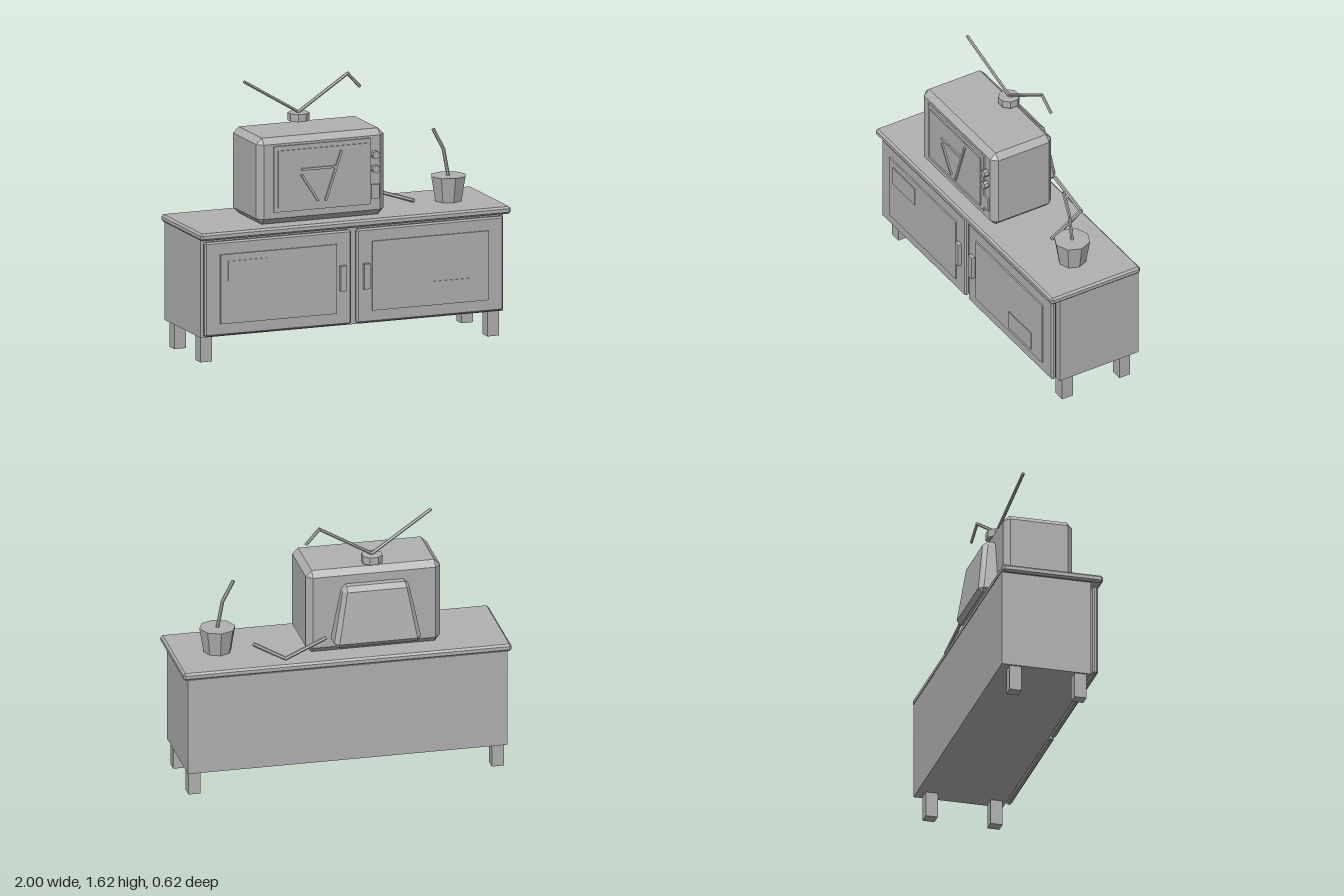
import * as THREE from 'three';
import { ConvexGeometry } from 'three/addons/geometries/ConvexGeometry.js';

const grey = new THREE.MeshStandardMaterial({ color: 0xb0b0b0, flatShading: true });
grey.name = 'plain grey';

function add(parent, name, geometry, x = 0, y = 0, z = 0) {
  const mesh = new THREE.Mesh(geometry, grey);
  mesh.name = name;
  mesh.position.set(x, y, z);
  parent.add(mesh);
  return mesh;
}

// Box given by its extents on each axis
function box(parent, name, [x0, x1], [y0, y1], [z0, z1]) {
  return add(parent, name, new THREE.BoxGeometry(x1 - x0, y1 - y0, z1 - z0),
    (x0 + x1) / 2, (y0 + y1) / 2, (z0 + z1) / 2);
}

// Box with every edge chamfered by b; warp may reshape its corner points
function chamferBox(parent, name, [x0, x1], [y0, y1], [z0, z1], b, warp = () => {}) {
  const half = [(x1 - x0) / 2, (y1 - y0) / 2, (z1 - z0) / 2];
  const points = [];
  for (const sx of [-1, 1]) for (const sy of [-1, 1]) for (const sz of [-1, 1]) {
    for (let axis = 0; axis < 3; axis++) {
      const p = [sx, sy, sz].map((s, i) => s * (half[i] - (i === axis ? 0 : b)));
      const v = new THREE.Vector3(...p);
      warp(v, half);
      points.push(v);
    }
  }
  return add(parent, name, new ConvexGeometry(points), (x0 + x1) / 2, (y0 + y1) / 2, (z0 + z1) / 2);
}

// Chain of straight six-sided rods through the given points
function rods(parent, name, radius, points) {
  const group = new THREE.Group();
  group.name = name;
  const up = new THREE.Vector3(0, 1, 0);
  for (let i = 0; i + 1 < points.length; i++) {
    const a = new THREE.Vector3(...points[i]);
    const b = new THREE.Vector3(...points[i + 1]);
    const dir = b.clone().sub(a);
    const mid = a.clone().add(b).multiplyScalar(0.5);
    const rod = add(group, name + 'Section', new THREE.CylinderGeometry(radius, radius, dir.length() + radius, 6), mid.x, mid.y, mid.z);
    rod.quaternion.setFromUnitVectors(up, dir.normalize());
  }
  parent.add(group);
}

function buildCabinet() {
  const cabinet = new THREE.Group();
  cabinet.name = 'cabinet';
  box(cabinet, 'cabinetBody', [-0.975, 0.975], [0.155, 0.76], [-0.31, 0.24]);
  chamferBox(cabinet, 'tableTop', [-1, 1], [0.755, 0.8], [-0.31, 0.31], 0.012);

  // Legs
  for (const x of [-0.927, 0.923]) for (const z of [-0.222, 0.178]) {
    box(cabinet, 'leg', [x - 0.037, x + 0.037], [0, 0.156], [z - 0.037, z + 0.037]);
  }

  // Doors with raised panels and handles
  for (const [x, side] of [[-0.492, -1], [0.487, 1]]) {
    chamferBox(cabinet, 'door', [x - 0.473, x + 0.473], [0.167, 0.74], [0.253, 0.287], 0.01);
    box(cabinet, 'doorPanel', [x - 0.375, x + 0.375], [0.24, 0.662], [0.28, 0.296]);
    const hx = side < 0 ? -0.078 : 0.072;
    box(cabinet, 'doorHandle', [hx - 0.019, hx + 0.019], [0.376, 0.53], [0.28, 0.311]);
  }

  // Small plates on the door panels
  box(cabinet, 'doorPlate', [-0.82, -0.57], [0.5, 0.62], [0.294, 0.301]);
  box(cabinet, 'doorPlate', [0.49, 0.745], [0.265, 0.385], [0.294, 0.301]);
  return cabinet;
}

function buildTelevision() {
  const tv = new THREE.Group();
  tv.name = 'television';
  chamferBox(tv, 'casing', [-0.6, 0.22], [0.803, 1.327], [-0.187, 0.238], 0.036);

  // Tube housing, narrowing and leaning in toward the top
  chamferBox(tv, 'tubeHousing', [-0.46, 0.08], [0.867, 1.237], [-0.307, -0.13], 0.028, (v, half) => {
    const t = (v.y + half[1]) / (2 * half[1]);
    v.x *= 1 - 0.27 * t;
    if (v.z < 0) v.z += 0.05 * t;
  });

  // Screen and controls
  box(tv, 'screenFrame', [-0.503, 0.123], [0.877, 1.278], [0.23, 0.247]);
  box(tv, 'screen', [-0.476, 0.096], [0.904, 1.251], [0.24, 0.254]);
  box(tv, 'speaker', [0.124, 0.176], [0.909, 0.995], [0.23, 0.249]);
  for (const y of [1.176, 1.09]) {
    add(tv, 'knob', new THREE.CylinderGeometry(0.024, 0.024, 0.04, 8), 0.148, y, 0.248).rotation.x = Math.PI / 2;
  }

  // Straight strips across the screen
  const strips = [[-0.33, 1.128, -0.112, 1.128], [-0.33, 1.096, -0.222, 0.93], [-0.072, 1.225, -0.176, 0.925]];
  for (const [xa, ya, xb, yb] of strips) {
    const strip = add(tv, 'screenStrip', new THREE.BoxGeometry(Math.hypot(xb - xa, yb - ya), 0.014, 0.014),
      (xa + xb) / 2, (ya + yb) / 2, 0.257);
    strip.rotation.z = Math.atan2(yb - ya, xb - xa);
  }

  // Antenna
  const base = [-0.19, 1.39, -0.124];
  add(tv, 'antennaBase', new THREE.CylinderGeometry(0.065, 0.065, 0.047, 8, 1, false, Math.PI / 8), -0.19, 1.363, -0.124);
  rods(tv, 'leftAntenna', 0.01, [base, [-0.562, 1.614, -0.064]]);
  rods(tv, 'rightAntenna', 0.01, [base, [0.138, 1.59, -0.152], [0.22, 1.505, -0.164]]);

  // Power cable
  rods(tv, 'cable', 0.012, [[0.125, 0.928, -0.253], [0.373, 0.83, -0.279], [0.498, 0.817, -0.002]]);
  return tv;
}

function buildCup() {
  const cup = new THREE.Group();
  cup.name = 'drink';
  add(cup, 'cup', new THREE.CylinderGeometry(0.11, 0.084, 0.152, 8), 0.724, 0.876, 0);
  rods(cup, 'straw', 0.011, [[0.725, 0.94, 0], [0.692, 1.115, 0], [0.628, 1.237, 0]]);
  return cup;
}

export function createModel() {
  const model = new THREE.Group();
  model.name = 'televisionOnCabinet';
  model.add(buildCabinet(), buildTelevision(), buildCup());
  return model;
}
